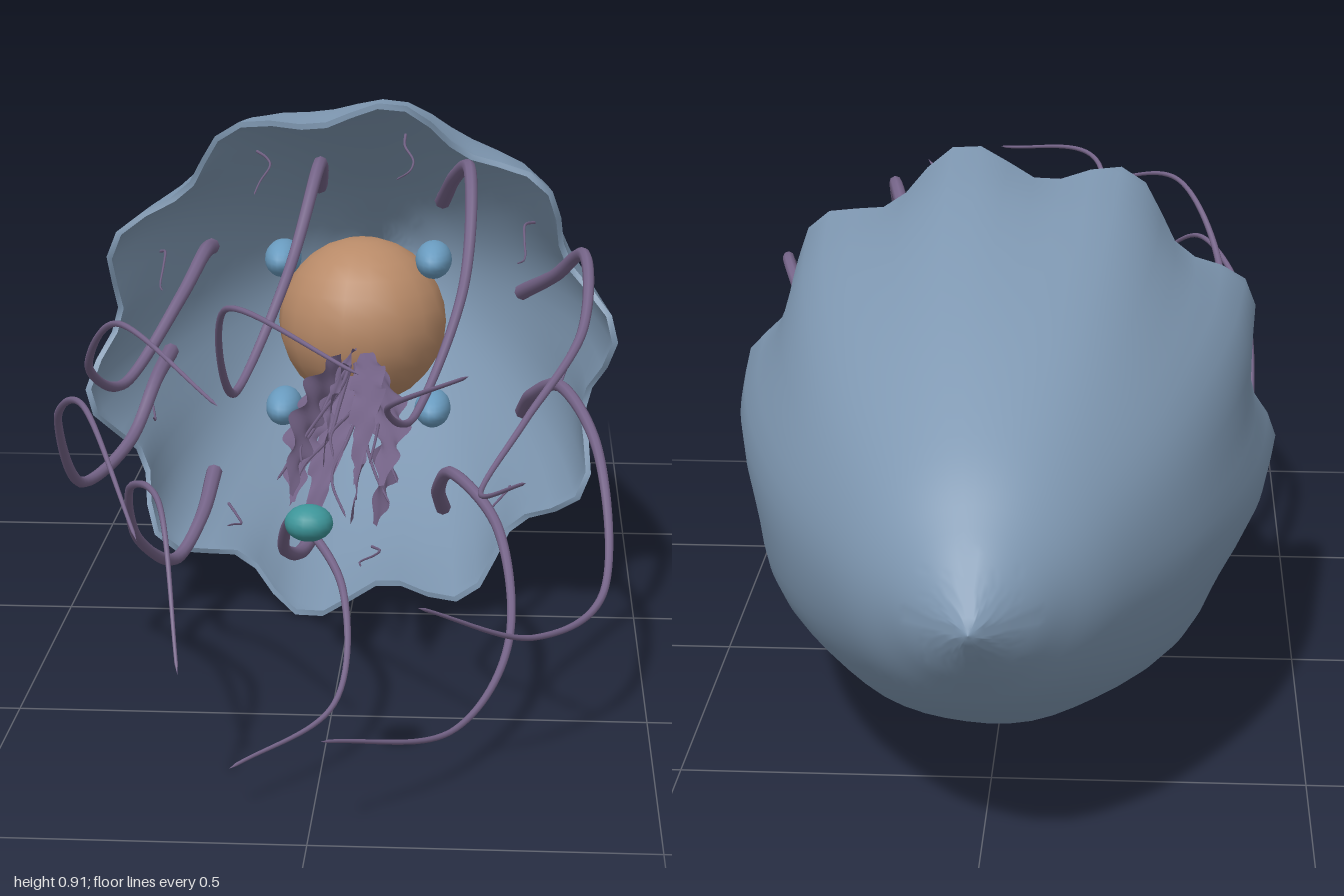
import * as THREE from 'three';
import { mergeVertices, toCreasedNormals } from 'three/addons/utils/BufferGeometryUtils.js';

const CY = 0.465; // height of the body axis
const mat = (color, side = THREE.FrontSide) => new THREE.MeshStandardMaterial({ color, side });
const bellMat = mat(0x7f98b2);
const coreMat = mat(0xb88a68);
const podMat = mat(0x6a9cc0);
const beadMat = mat(0x3d9599);
const armMat = mat(0x756488);
const frillMat = mat(0x756488, THREE.DoubleSide);

function add(parent, name, geometry, material) {
  const mesh = new THREE.Mesh(geometry, material);
  mesh.name = name;
  parent.add(mesh);
  return mesh;
}

// Thin-walled bell: a lathe whose rim is fluted into ten lobes
function bellGeometry() {
  const outer = new THREE.SplineCurve([
    [0, 1], [0.065, 0.95], [0.12, 0.9], [0.205, 0.8], [0.315, 0.6],
    [0.385, 0.4], [0.425, 0.2], [0.44, 0],
  ].map(([r, y]) => new THREE.Vector2(r, y))).getPoints(36);
  outer.forEach(p => { p.x = Math.max(p.x, 0); });
  const inner = outer.map(p => new THREE.Vector2(Math.max(0, p.x - 0.01), p.y * 0.988));
  let geo = new THREE.LatheGeometry([...inner, ...outer.reverse()], 60);
  const pos = geo.attributes.position;
  for (let i = 0; i < pos.count; i++) {
    const x = pos.getX(i), y = pos.getY(i), z = pos.getZ(i);
    const r = Math.hypot(x, z), t = 1 - y;
    const lobe = Math.cos(10 * (Math.atan2(z, x) - 0.14));
    const k = r > 0 ? (r + 0.024 * lobe * t ** 3) / r : 1;
    pos.setXYZ(i, x * k, y - 0.03 * lobe * t ** 8, z * k);
  }
  geo.deleteAttribute('uv');
  geo.deleteAttribute('normal');
  geo = toCreasedNormals(mergeVertices(geo, 1e-4), 0.9);
  return geo.rotateX(-Math.PI / 2);
}

// Tube along a curve, narrowing from r0 to r1, closed at both ends
function taperedTube(points, r0, r1, steps, sides) {
  const curve = new THREE.CatmullRomCurve3(points);
  const geo = new THREE.TubeGeometry(curve, steps, 1, sides);
  const pos = geo.attributes.position, v = new THREE.Vector3();
  for (let i = 0; i <= steps; i++) {
    const c = curve.getPointAt(i / steps);
    const r = i === 0 || i === steps ? 0 : r0 + (r1 - r0) * (i / steps) ** 0.7;
    // pull the second ring back so the blunt end is flat
    const shift = i === 1 ? curve.getPointAt(0).sub(c) : new THREE.Vector3();
    for (let j = 0; j <= sides; j++) {
      const n = i * (sides + 1) + j;
      v.fromBufferAttribute(pos, n).sub(c).multiplyScalar(r).add(c).add(shift);
      pos.setXYZ(n, v.x, v.y, v.z);
    }
  }
  return geo;
}

// Ruffled ribbon, wide in the middle and pointed at its tip
function frillGeometry(index, count) {
  const a = index / count * Math.PI * 2 + 0.3;
  const from = new THREE.Vector3(0.03 * Math.cos(a), 0.41 + 0.025 * Math.sin(a), -0.24);
  const to = new THREE.Vector3(0.075 * Math.cos(a), 0.335 + 0.05 * Math.sin(a), 0.36 + 0.09 * (index % 2));
  const geo = new THREE.PlaneGeometry(1, 1, 6, 40);
  const pos = geo.attributes.position, p = new THREE.Vector3();
  for (let i = 0; i < pos.count; i++) {
    const s = pos.getX(i) * 2, t = 0.5 - pos.getY(i);
    const across = s * (0.004 + 0.026 * Math.sin(Math.PI * t ** 0.8));
    const lift = 0.022 * Math.sin(Math.PI * t)
      + s * s * 0.012 * Math.sin(t * 26 + index * 1.7 + s) * Math.sin(Math.PI * t);
    const twist = a + 0.8 * t + 0.5;
    p.lerpVectors(from, to, t);
    pos.setXYZ(i,
      p.x + lift * Math.cos(a) - across * Math.sin(twist),
      p.y + lift * Math.sin(a) + across * Math.cos(twist), p.z);
  }
  geo.computeVertexNormals();
  return geo;
}

// Tentacle paths as x, y pairs at these shared depths
const DEPTHS = [-0.09, 0.03, 0.14, 0.32, 0.53, 0.74, 0.97];
const PATHS = [
  [0.295, 0.575, 0.35, 0.63, 0.395, 0.69, 0.39, 0.6, 0.3, 0.505, 0.235, 0.44, 0.3, 0.51],
  [0.155, 0.735, 0.18, 0.8, 0.205, 0.83, 0.2, 0.67, 0.13, 0.51, 0.1, 0.58, 0.22, 0.685],
  [-0.06, 0.76, -0.048, 0.81, -0.045, 0.83, -0.08, 0.69, -0.145, 0.545, -0.13, 0.73, 0.075, 0.7],
  [-0.25, 0.65, -0.25, 0.66, -0.275, 0.61, -0.345, 0.505, -0.37, 0.58, -0.29, 0.7, -0.12, 0.64],
  [-0.325, 0.46, -0.335, 0.44, -0.365, 0.36, -0.42, 0.335, -0.42, 0.5, -0.34, 0.58, -0.23, 0.46],
  [-0.25, 0.24, -0.26, 0.19, -0.29, 0.15, -0.33, 0.24, -0.31, 0.39, -0.24, 0.42, -0.19, 0.23],
  [-0.06, 0.15, -0.085, 0.13, -0.105, 0.17, -0.07, 0.28, 0.02, 0.23, 0.02, 0.11, -0.12, 0.08],
  [0.16, 0.18, 0.155, 0.25, 0.18, 0.31, 0.26, 0.27, 0.28, 0.15, 0.2, 0.09, 0.02, 0.165],
  [0.3, 0.36, 0.315, 0.42, 0.36, 0.465, 0.42, 0.4, 0.425, 0.23, 0.32, 0.22, 0.15, 0.33],
];

export function createModel() {
  const model = new THREE.Group();
  model.name = 'jellyfish';

  add(model, 'bell', bellGeometry(), bellMat).position.y = CY;

  // Core inside the bell
  add(model, 'core', new THREE.SphereGeometry(0.156, 18, 14), coreMat).position.set(0, 0.46, -0.36);

  // Four long pods around the core
  for (const sx of [-1, 1]) {
    for (const sy of [-1, 1]) {
      const pod = add(model, 'pod', new THREE.SphereGeometry(0.033, 18, 12), podMat);
      pod.scale.z = 2.1;
      pod.position.set(sx * 0.136, CY + sy * 0.138, -0.23);
    }
  }

  // Floating bead ahead of the bell
  const bead = add(model, 'bead', new THREE.SphereGeometry(0.034, 18, 12), beadMat);
  bead.scale.y = 0.75;
  bead.position.set(0, CY, 0.94);

  // Nine long coiling tentacles
  const tentacles = new THREE.Group();
  tentacles.name = 'tentacles';
  model.add(tentacles);
  PATHS.forEach((path, n) => {
    const reach = [0.88, 0.97, 1.03, 0.98, 1.02, 0.92, 0.9, 1, 0.9][n];
    const points = DEPTHS.map((z, i) =>
      new THREE.Vector3(path[2 * i], path[2 * i + 1], z > 0.5 ? 0.5 + (z - 0.5) * (reach - 0.5) / 0.47 : z));
    add(tentacles, 'tentacle', taperedTube(points, 0.015, 0.0025, 72, 8), armMat);
  });

  // Short fine filaments just inside the rim
  for (let i = 0; i < 9; i++) {
    const a = (i * 40 + 35) * Math.PI / 180;
    const points = [0, 1, 2, 3, 4].map(k => {
      const r = 0.385 - 0.01 * k, b = a + 0.04 * Math.sin(k * 1.5 + i);
      return new THREE.Vector3(r * Math.cos(b), CY + r * Math.sin(b), -0.16 + k * 0.06);
    });
    add(tentacles, 'filament', taperedTube(points, 0.003, 0.0015, 20, 5), armMat);
  }

  // Frilled arms hanging from the core, with thin threads between them
  const arms = new THREE.Group();
  arms.name = 'frilledArms';
  model.add(arms);
  for (let i = 0; i < 8; i++) {
    add(arms, 'frill', frillGeometry(i, 8), frillMat);
    const a = i * Math.PI / 4;
    const points = [0, 1, 2, 3, 4].map(k => {
      const r = 0.02 + 0.02 * k, w = 0.25 * Math.sin(k * 1.8 + i);
      return new THREE.Vector3(r * Math.cos(a + w), 0.4 - 0.014 * k + r * 0.5 * Math.sin(a + w), -0.22 + 0.145 * k);
    });
    add(arms, 'thread', taperedTube(points, 0.005, 0.002, 28, 5), armMat);
  }
  return model;
}
